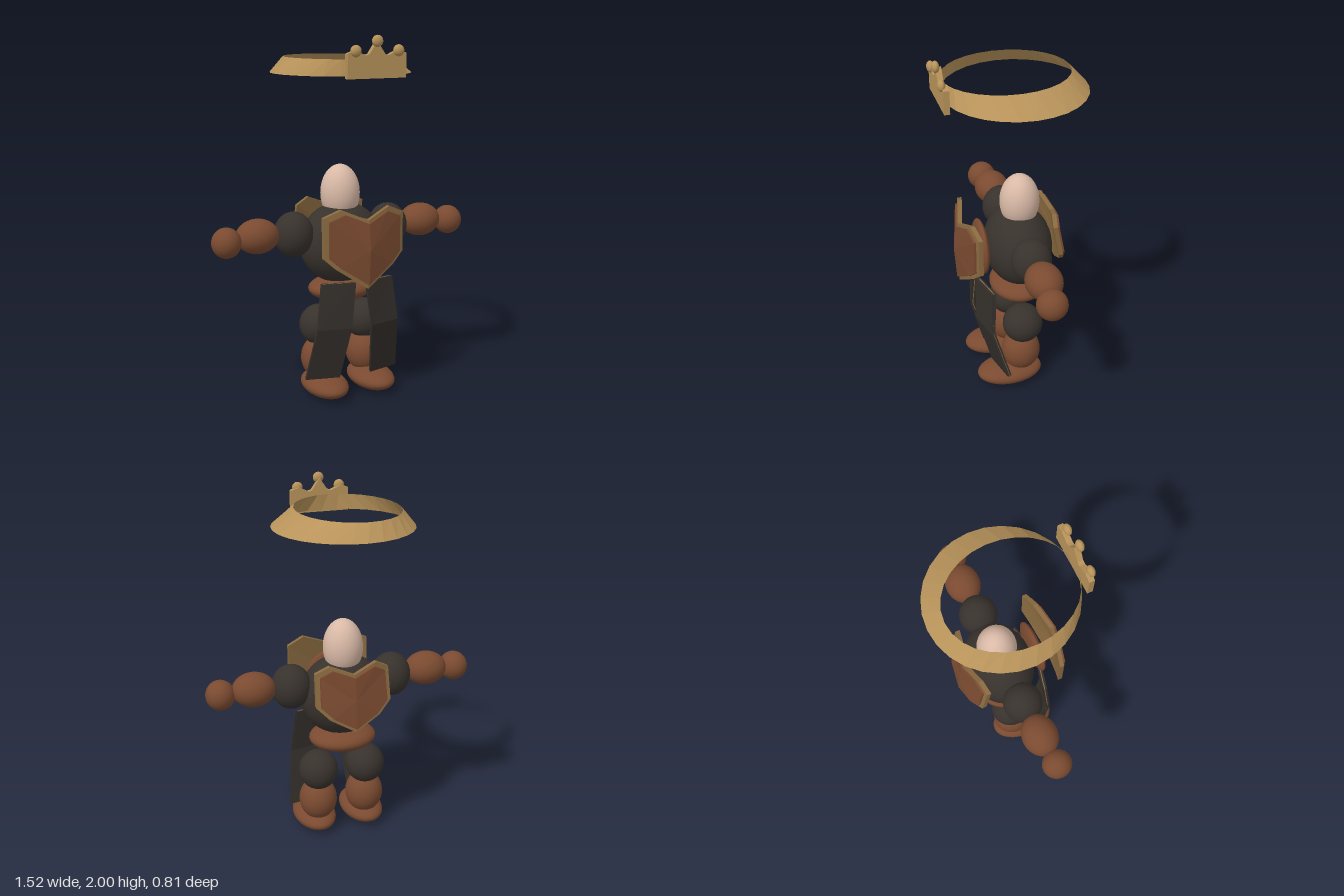
import * as THREE from 'three';

const mat = (color, extra = {}) => new THREE.MeshStandardMaterial({ color, ...extra });
const brown = mat(0x7a4a30), dark = mat(0x38322d), skin = mat(0xd9b9a6), gold = mat(0xb8935a);
const flat = { flatShading: true };
const brownFlat = mat(0x7a4a30, flat), darkFlat = mat(0x332e2a, flat);
const trimFlat = mat(0x8a6a40, flat);
const bandMat = mat(0xb8935a, { flatShading: true, side: THREE.DoubleSide });

export function createModel() {
  const model = new THREE.Group();

  const add = (name, geometry, material) => {
    const mesh = new THREE.Mesh(geometry, material);
    mesh.name = name;
    model.add(mesh);
    return mesh;
  };

  const ball = (name, material, [x, y, z], [rx, ry, rz]) => {
    const mesh = add(name, new THREE.SphereGeometry(1, 32, 24), material);
    mesh.position.set(x, y, z);
    mesh.scale.set(rx, ry, rz);
  };

  // Body
  ball('head', skin, [0, 1.13, -0.05], [0.11, 0.16, 0.11]);
  ball('torso', dark, [0, 0.85, -0.04], [0.24, 0.23, 0.19]);
  ball('pelvis', brown, [0, 0.59, -0.04], [0.19, 0.07, 0.16]);
  ball('chestDisc', brown, [0, 0.87, 0.175], [0.15, 0.16, 0.036]);

  // Limbs, mirrored
  for (const [side, s] of [['left', 1], ['right', -1]]) {
    ball(side + 'UpperArm', dark, [s * 0.29, 0.925, -0.03], [0.11, 0.125, 0.11]);
    ball(side + 'Forearm', brown, [s * 0.5, 0.935, -0.03], [0.12, 0.095, 0.1]);
    ball(side + 'Hand', brown, [s * 0.68, 0.92, -0.015], [0.08, 0.083, 0.083]);
    ball(side + 'Thigh', dark, [s * 0.14, 0.39, -0.03], [0.112, 0.115, 0.115]);
    ball(side + 'Shin', brown, [s * 0.14, 0.2, -0.02], [0.108, 0.125, 0.112]);
    ball(side + 'Foot', brown, [s * 0.145, 0.066, 0.05], [0.12, 0.062, 0.192]);
  }

  // Closed plate: front and back fans around a centre, joined by a wall
  const slab = (half, centre, depth, shrink = 1, lift = 0) => {
    const mirrored = half.slice(1, -1).reverse().map(([x, y, z]) => [-x, y, z]);
    const loop = [...half, ...mirrored].map((p) =>
      p.map((v, i) => centre[i] + (v - centre[i]) * shrink + (i === 2 ? lift : 0)));
    const c = [centre[0], centre[1], centre[2] + lift];
    const back = ([x, y, z]) => [x, y, z - depth];
    const tris = [];
    loop.forEach((a, i) => {
      const b = loop[(i + 1) % loop.length];
      tris.push(c, b, a, back(c), back(a), back(b));
      tris.push(a, b, back(b), a, back(b), back(a));
    });
    const g = new THREE.BufferGeometry();
    g.setAttribute('position', new THREE.Float32BufferAttribute(tris.flat(), 3));
    g.computeVertexNormals();
    return g;
  };

  // Heart-shaped plates with a gold rim and a raised brown face
  const shield = (name, half, centre, turn) => {
    add(name + 'Rim', slab(half, centre, 0.025).rotateY(turn), trimFlat);
    add(name + 'Face', slab(half, centre, 0.02, 0.89, 0.012).rotateY(turn), brownFlat);
  };
  shield('breastplate', [[0, 1.04, 0.3], [0.14, 1.1, 0.265], [0.235, 1.06, 0.245],
    [0.235, 0.84, 0.245], [0.17, 0.78, 0.265], [0, 0.665, 0.3]], [0, 0.88, 0.315], 0);
  shield('backplate', [[0, 1.04, 0.25], [0.13, 1.09, 0.22], [0.205, 1.05, 0.205],
    [0.21, 0.87, 0.24], [0.14, 0.8, 0.265], [0, 0.72, 0.285]], [0, 0.9, 0.27], Math.PI);

  // Folded skirt panels: rows of [y, inner x, outer x, inner z, outer z]
  const rows = [
    [0.125, 0.095, 0.28, 0.145, 0.1],
    [0.43, 0.06, 0.245, 0.228, 0.185],
    [0.68, 0.03, 0.215, 0.215, 0.17],
  ];
  const panel = (s, thick, inset, drop) => {
    const g = new THREE.BoxGeometry(1, 1, 1, 1, 2, 1);
    const p = g.attributes.position;
    for (let i = 0; i < p.count; i++) {
      const [y, xi, xo, zi, zo] = rows[Math.round((p.getY(i) + 0.5) * 2)];
      const u = THREE.MathUtils.lerp(inset, 1 - inset, 0.5 + s * p.getX(i));
      const z = THREE.MathUtils.lerp(zi, zo, u) + (p.getZ(i) - 0.5) * thick - drop;
      p.setXYZ(i, s * THREE.MathUtils.lerp(xi, xo, u), y, z);
    }
    g.computeVertexNormals();
    return g;
  };
  for (const [side, s] of [['left', 1], ['right', -1]]) {
    add(side + 'SkirtPanel', panel(s, 0.012, 0, 0), darkFlat);
    add(side + 'SkirtTrim', panel(s, 0.006, 0.06, 0.012), trimFlat);
    add(side + 'SkirtLining', panel(s, 0.008, 0.03, 0.018), darkFlat);
  }

  // Crown band: lopsided flared ring, nearly upright at the front
  const band = new THREE.CylinderGeometry(1, 1, 1, 28, 1, true);
  const bp = band.attributes.position;
  for (let i = 0; i < bp.count; i++) {
    const top = bp.getY(i) > 0;
    const [cx, cz, rx, rz] = top ? [-0.045, 0.01, 0.28, 0.34] : [-0.01, -0.025, 0.38, 0.385];
    bp.setXYZ(i, cx + rx * bp.getX(i), top ? 1.88 : 1.795, Math.min(0.352, cz + rz * bp.getZ(i)));
  }
  band.computeVertexNormals();
  add('crownBand', band, bandMat);

  // Crown front plate with three points and beads
  const outline = [[-0.165, 1.785], [0.165, 1.785], [0.165, 1.91], [0.12, 1.925],
    [0.065, 1.9], [0.045, 1.905], [0, 1.97], [-0.045, 1.905], [-0.065, 1.9], [-0.12, 1.925], [-0.165, 1.91]];
  const plate = new THREE.ExtrudeGeometry(
    new THREE.Shape(outline.map(([x, y]) => new THREE.Vector2(x, y))), { depth: 0.03, bevelEnabled: false });
  add('crownPlate', plate.translate(0, 0, 0.355), gold);
  for (const [x, y] of [[-0.12, 1.922], [0, 1.97], [0.12, 1.922]]) {
    ball('crownBead', gold, [x, y, 0.385], [0.03, 0.03, 0.02]);
  }

  return model;
}
